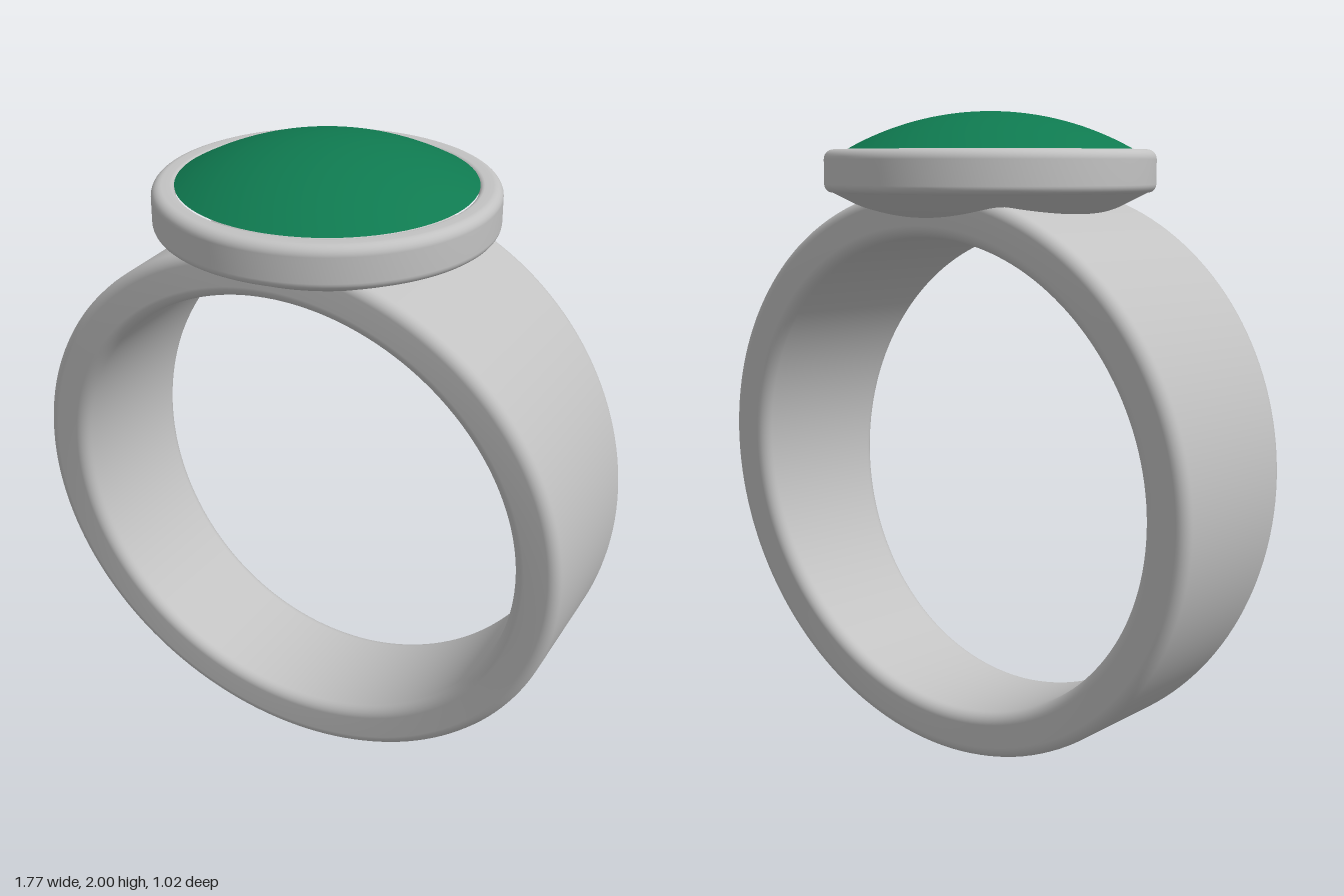
import * as THREE from 'three';

const metal = new THREE.MeshStandardMaterial({ color: 0xc2c2c2 });
metal.name = 'silver metal';
const green = new THREE.MeshStandardMaterial({ color: 0x0f7a50 });
green.name = 'green stone';

const CENTRE_Y = 0.885, INNER = 0.742, OUTER = 0.885;

// Points of an arc in a (radius, height) plane
function arc(cx, cy, r, from, to, steps) {
  return Array.from({ length: steps + 1 }, (_, i) => {
    const a = from + (to - from) * i / steps;
    return new THREE.Vector2(cx + r * Math.cos(a), cy + r * Math.sin(a));
  });
}

// Ring band: rounded rectangle swept round a circle, widening with height
function bandGeometry(segments = 160, fillet = 0.035, steps = 6) {
  const pos = [], index = [];
  const H = Math.PI / 2;
  const n = 4 * (steps + 1);
  for (let i = 0; i < segments; i++) {
    const a = i / segments * Math.PI * 2;
    const half = 0.207 + 0.07 * (CENTRE_Y + OUTER * Math.sin(a));
    const lo = INNER + fillet, hi = OUTER - fillet, w = half - fillet;
    const section = [[hi, w, 0], [lo, w, 1], [lo, -w, 2], [hi, -w, 3]]
      .flatMap(([r, z, q]) => arc(r, z, fillet, q * H, (q + 1) * H, steps));
    for (const p of section) pos.push(p.x * Math.cos(a), CENTRE_Y + p.x * Math.sin(a), p.y);
    for (let j = 0; j < n; j++) {
      const k = (j + 1) % n, next = (i + 1) % segments;
      const A = i * n + j, B = next * n + j, C = next * n + k, D = i * n + k;
      index.push(A, B, C, A, C, D);
    }
  }
  const g = new THREE.BufferGeometry();
  g.setAttribute('position', new THREE.Float32BufferAttribute(pos, 3));
  g.setIndex(index);
  g.computeVertexNormals();
  return g;
}

export function createModel() {
  const ring = new THREE.Group();
  ring.name = 'ring';
  const add = (name, geometry, material) => {
    const mesh = new THREE.Mesh(geometry, material);
    mesh.name = name;
    ring.add(mesh);
  };

  add('band', bandGeometry(), metal);

  // Round setting: shallow dish below, straight rim with rounded edges above
  const H = Math.PI / 2;
  const rim = [
    ...arc(0.485, 1.78, 0.025, -H, 0, 6),
    ...arc(0.48, 1.855, 0.03, 0, H, 6),
    ...arc(0.455, 1.87, 0.015, H, 2 * H, 4),
    new THREE.Vector2(0.44, 1.84)
  ];
  add('settingRim', new THREE.LatheGeometry(rim, 96), metal);
  const dish = [[0, 1.672], [0.25, 1.673], [0.33, 1.685], [0.4, 1.712], [0.485, 1.755]]
    .map(([x, y]) => new THREE.Vector2(x, y));
  add('settingDish', new THREE.LatheGeometry(dish, 96), metal);

  // Domed stone: cap of a large sphere
  const radius = 0.9, edge = Math.asin(0.442 / radius);
  const dome = arc(0, 2 - radius, radius, H - edge, H, 20);
  add('stone', new THREE.LatheGeometry(dome, 96), green);

  return ring;
}
